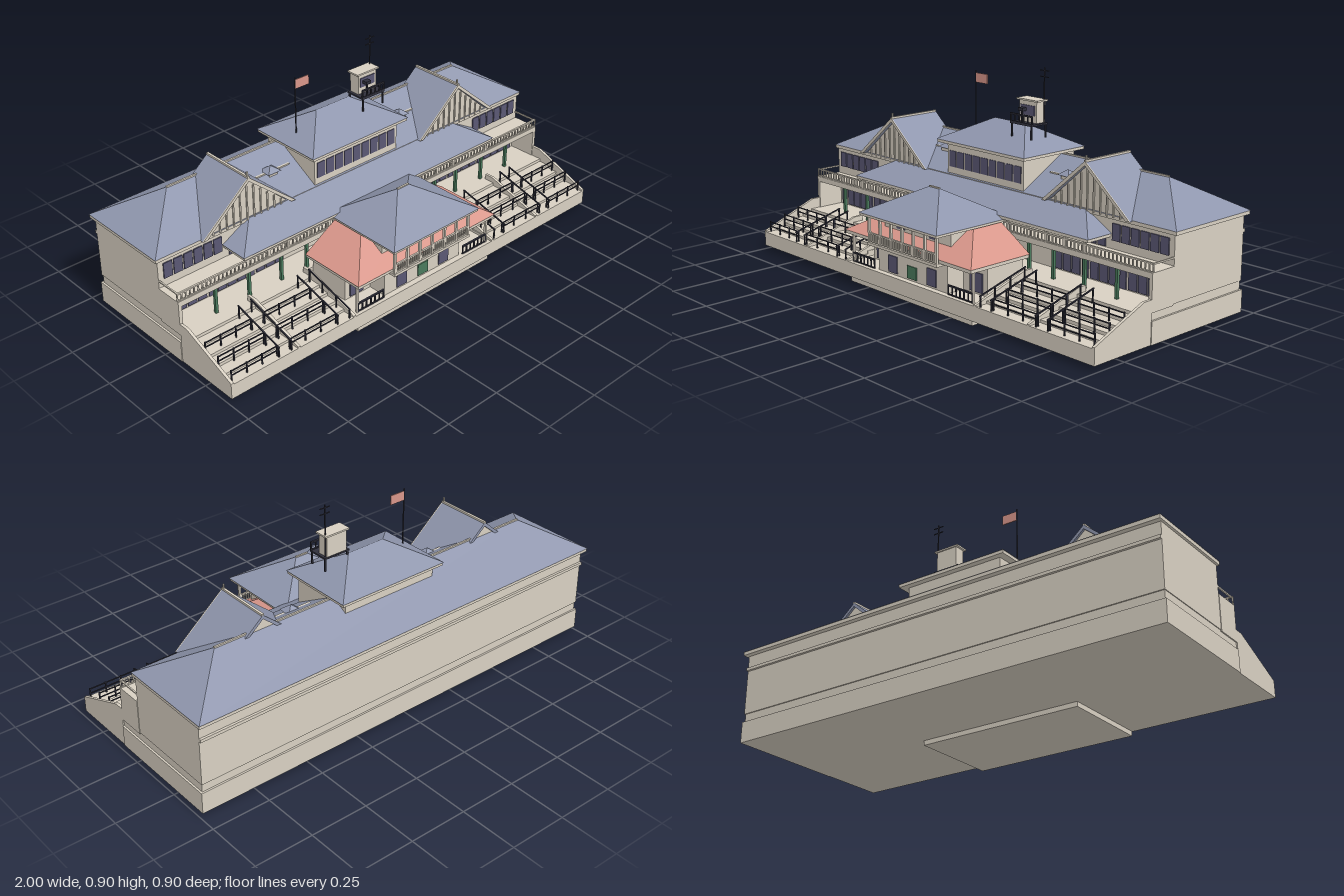
import * as THREE from 'three';

const mat = (name, color, side = THREE.FrontSide) => {
  const m = new THREE.MeshStandardMaterial({ color, side });
  m.name = name;
  return m;
};

export function createModel() {
  const root = new THREE.Group();
  root.name = 'grandstand';
  const cream = mat('cream wall', 0xd8d0c2), slate = mat('slate roof', 0x8f96ad);
  const red = mat('red roof', 0xd8968a, THREE.DoubleSide), glass = mat('window glass', 0x5a5874);
  const green = mat('green paint', 0x4a7a5c), iron = mat('dark iron', 0x30303c);

  const add = (name, geo, m) => {
    const mesh = new THREE.Mesh(geo, m);
    mesh.name = name;
    root.add(mesh);
    return mesh;
  };
  // Box given by its limits
  const box = (name, m, x0, x1, y0, y1, z0, z1) =>
    add(name, new THREE.BoxGeometry(Math.abs(x1 - x0), y1 - y0, z1 - z0)
      .translate((x0 + x1) / 2, (y0 + y1) / 2, (z0 + z1) / 2), m);
  // Square bar between two points
  const bar = (name, m, a, b, t = 0.005) => {
    const p = new THREE.Vector3(...a), q = new THREE.Vector3(...b);
    const mesh = add(name, new THREE.BoxGeometry(t, t, p.distanceTo(q)), m);
    mesh.position.copy(p).lerp(q, 0.5);
    mesh.lookAt(q);
    return mesh;
  };
  // Hip roof: lower rectangle and upper rectangle, each [x0, x1, z0, z1]
  const hip = (name, m, lo, y0, hi, y1) => {
    const ring = ([x0, x1, z0, z1], y) => [[x0, y, z1], [x1, y, z1], [x1, y, z0], [x0, y, z0]];
    const a = ring(lo, y0), b = ring(hi, y1), pos = [];
    const quad = (p, q, r, s) => pos.push(...p, ...q, ...r, ...p, ...r, ...s);
    for (let i = 0; i < 4; i++) quad(a[i], a[(i + 1) % 4], b[(i + 1) % 4], b[i]);
    quad(b[0], b[1], b[2], b[3]);
    quad(a[3], a[2], a[1], a[0]);
    const g = new THREE.BufferGeometry();
    g.setAttribute('position', new THREE.Float32BufferAttribute(pos, 3));
    g.computeVertexNormals();
    return add(name, g, m);
  };
  const prism = (pts, depth) => new THREE.ExtrudeGeometry(
    new THREE.Shape(pts.map(p => new THREE.Vector2(...p))), { depth, bevelEnabled: false });
  // Railing along x: top rail, foot rail and balusters
  const railing = (name, m, x0, x1, y0, y1, z, n) => {
    box(name + 'Top', m, x0, x1, y1 - 0.006, y1, z - 0.004, z + 0.004);
    box(name + 'Foot', m, x0, x1, y0, y0 + 0.004, z - 0.003, z + 0.003);
    for (let i = 0; i <= n; i++) {
      const x = x0 + (x1 - x0) * i / n;
      box(name + 'Baluster', m, x - 0.0025, x + 0.0025, y0, y1, z - 0.0025, z + 0.0025);
    }
  };

  // Main body
  box('base', cream, -0.37, 0.37, 0, 0.03, -0.01, 0.39);
  box('lowerBody', cream, -0.985, 0.985, 0.02, 0.145, -0.42, 0.1);
  box('plinth', cream, -0.993, 0.993, 0.02, 0.11, -0.428, 0.1);
  box('upperBody', cream, -0.988, 0.988, 0.145, 0.41, -0.425, -0.02);
  box('rearLedge', cream, -0.988, 0.988, 0.335, 0.348, -0.435, -0.42);
  box('mainEave', cream, -0.998, 0.998, 0.403, 0.418, -0.447, -0.014);
  hip('mainRoof', slate, [-1, 1, -0.45, -0.012], 0.418, [-0.78, 0.78, -0.237, -0.233], 0.543);
  box('mainRidge', cream, -0.78, 0.78, 0.54, 0.548, -0.239, -0.231);

  // Balcony, veranda roof
  box('balconyFloor', cream, -0.99, 0.99, 0.265, 0.288, -0.02, 0.1);
  hip('verandaRoof', slate, [-0.69, 0.69, -0.02, 0.11], 0.346, [-0.56, 0.56, -0.02, -0.018], 0.417);
  box('verandaEave', cream, -0.686, 0.686, 0.333, 0.346, -0.02, 0.107);

  // Central tower
  box('towerWall', cream, -0.225, 0.225, 0.4, 0.556, -0.305, -0.018);
  box('towerEave', cream, -0.256, 0.256, 0.551, 0.564, -0.33, 0.012);
  hip('towerRoof', slate, [-0.26, 0.26, -0.333, 0.015], 0.564, [-0.09, 0.09, -0.162, -0.158], 0.655);
  for (let i = 0; i < 9; i++) {
    const x = -0.192 + i * 0.048;
    box('towerWindow', glass, x - 0.02, x + 0.02, 0.45, 0.518, -0.02, -0.015);
  }

  for (const s of [-1, 1]) {
    const sb = (name, m, x0, x1, ...r) => box(name, m, Math.min(s * x0, s * x1), Math.max(s * x0, s * x1), ...r);

    // Gable with battens and finial
    const cx = s * 0.57;
    add('gableWall', prism([[-0.205, 0.41], [0.205, 0.41], [0, 0.59]], 0.225).translate(cx, 0, -0.24), cream);
    const chevron = [[-0.225, 0.415], [-0.205, 0.415], [0, 0.588], [0.205, 0.415], [0.225, 0.415], [0, 0.605]];
    add('gableRoof', prism(chevron.slice().reverse(), 0.25).translate(cx, 0, -0.25), slate);
    add('bargeboard', prism(chevron.slice().reverse(), 0.005).translate(cx, 0, 0), cream);
    box('gableRidge', cream, cx - 0.005, cx + 0.005, 0.601, 0.609, -0.25, 0.004);
    box('finial', cream, cx - 0.003, cx + 0.003, 0.6, 0.626, -0.008, -0.002);
    for (let i = -5; i <= 5; i++) {
      const x = cx + i * 0.033;
      box('gableBatten', cream, x - 0.003, x + 0.003, 0.41, 0.583 - Math.abs(i) * 0.029, -0.016, -0.01);
    }

    // Ridge vent
    sb('ventStrip', cream, 0.26, 0.43, 0.48, 0.49, -0.14, -0.13);
    sb('ventBox', cream, 0.335, 0.375, 0.475, 0.494, -0.155, -0.115);
    hip('ventRoof', slate, [s * 0.355 - 0.032, s * 0.355 + 0.032, -0.165, -0.105], 0.492,
      [s * 0.355 - 0.001, s * 0.355 + 0.001, -0.136, -0.134], 0.514);

    // Windows on three levels
    for (let i = 0; i < 12; i++) {
      const x = 0.4 + i * 0.0475;
      if (i % 4 !== 3) sb('lowerWindow', glass, x, x + 0.041, 0.15, 0.257, -0.02, -0.015);
      else sb('lowerDoor', glass, x + 0.006, x + 0.036, 0.147, 0.235, -0.02, -0.015);
    }
    for (let i = 0; i < 6; i++) {
      const x = 0.695 + i * 0.046;
      sb('upperWindow', glass, x, x + 0.039, 0.322, 0.388, -0.02, -0.015);
    }
    for (let i = 0; i < 9; i++) {
      const x = 0.24 + i * 0.048;
      sb('verandaWindow', glass, x, x + 0.039, 0.292, 0.33, -0.02, -0.015);
    }

    // Balcony supports and railings
    sb('endWall', cream, 0.975, 0.99, 0.14, 0.288, -0.02, 0.1);
    for (const x of [0.36, 0.49, 0.65, 0.81])
      sb('greenPost', green, x - 0.006, x + 0.006, 0.145, 0.266, 0.075, 0.087);
    for (const x of [0.25, 0.36, 0.46, 0.56, 0.66])
      sb('verandaPost', cream, x - 0.005, x + 0.005, 0.285, 0.335, 0.086, 0.096);
    railing('balconyRail', cream, s * 0.23, s * 0.988, 0.288, 0.324, 0.094, 40);
    sb('balconyEndRail', cream, 0.982, 0.988, 0.316, 0.322, -0.02, 0.096);

    // Stepped terrace with sloping parapets
    for (let i = 0; i < 6; i++)
      sb('terraceStep', cream, 0.38, 0.98, 0.02, 0.08 + i * 0.013, 0.09, 0.388 - i * 0.048);
    for (const [x, top] of [[0.984, 0.19], [0.67, 0.168], [0.39, 0.168]]) {
      const g = prism([[0.395, 0.02], [0.395, 0.088], [0.14, top], [0.1, top], [0.1, 0.02]], 0.012);
      add('parapet', g.rotateY(-Math.PI / 2).translate(s * x + 0.006, 0, 0), cream);
    }

    // Iron aisle handrails and crowd barriers
    const stepY = z => 0.08 + 0.27 * (0.388 - z);
    for (const x of [0.41, 0.47, 0.7, 0.76]) {
      bar('aisleRail', iron, [s * x, stepY(0.39) + 0.045, 0.39], [s * x, stepY(0.15) + 0.045, 0.15]);
      for (const z of [0.385, 0.31, 0.23, 0.155])
        sb('aislePost', iron, x - 0.0025, x + 0.0025, stepY(z) - 0.012, stepY(z) + 0.045, z - 0.0025, z + 0.0025);
    }
    for (const z of [0.375, 0.3, 0.225])
      for (const [x0, x1] of [[0.47, 0.7], [0.76, 0.972]]) {
        for (const h of [0.025, 0.045])
          sb('barrierRail', iron, x0, x1, stepY(z) + h - 0.004, stepY(z) + h, z - 0.002, z + 0.002);
        for (let i = 0; i < 4; i++) {
          const x = x0 + (x1 - x0) * i / 3;
          sb('barrierPost', iron, x - 0.0025, x + 0.0025, stepY(z) - 0.012, stepY(z) + 0.047, z - 0.0025, z + 0.0025);
        }
      }

    // Pavilion wing
    sb('wingWall', cream, 0.2, 0.345, 0.08, 0.21, 0.1, 0.288);
    sb('wingWindow', glass, 0.25, 0.32, 0.09, 0.168, 0.287, 0.293);
    sb('wingPost', cream, 0.357, 0.367, 0.08, 0.21, 0.372, 0.382);
    railing('wingRail', iron, s * 0.225, s * 0.36, 0.085, 0.125, 0.38, 6);
    sb('pavilionDoor', glass, 0.09, 0.145, 0.09, 0.16, 0.368, 0.374);
    sb('roomWindow', glass, 0.075, 0.125, 0.268, 0.312, 0.34, 0.345);
  }

  // Front wall of terrace
  box('terraceFront', cream, -0.99, 0.99, 0.02, 0.082, 0.09, 0.395);

  // Central pavilion
  box('pavilionWall', cream, -0.21, 0.21, 0.08, 0.21, 0.1, 0.37);
  box('greenDoor', green, -0.028, 0.028, 0.09, 0.142, 0.368, 0.374);
  box('redRoofEave', cream, -0.378, 0.378, 0.207, 0.222, 0.1, 0.403);
  hip('redRoof', red, [-0.382, 0.382, 0.1, 0.406], 0.222, [-0.225, 0.225, 0.1, 0.25], 0.316);
  box('pavilionRoom', cream, -0.2, 0.2, 0.22, 0.325, 0.1, 0.342);
  box('pavilionBalcony', cream, -0.21, 0.21, 0.197, 0.209, 0.37, 0.426);
  box('pavilionBeam', cream, -0.21, 0.21, 0.311, 0.322, 0.413, 0.424);
  for (let i = 0; i < 7; i++) {
    const x = -0.204 + i * 0.068;
    box('pavilionPost', cream, x - 0.005, x + 0.005, 0.2, 0.322, 0.414, 0.424);
  }
  railing('pavilionRail', cream, -0.205, 0.205, 0.212, 0.25, 0.419, 36);
  box('pavilionEave', cream, -0.232, 0.232, 0.32, 0.331, 0.06, 0.445);
  hip('pavilionRoof', slate, [-0.236, 0.236, 0.052, 0.448], 0.331, [-0.03, 0.03, 0.248, 0.252], 0.442);
  box('pavilionRidge', cream, -0.03, 0.03, 0.438, 0.446, 0.246, 0.254);

  // Lookout on the tower roof
  box('lookoutFloor', iron, 0.088, 0.21, 0.669, 0.676, -0.166, -0.076);
  for (const x of [0.094, 0.204])
    for (const z of [-0.16, -0.08]) box('lookoutLeg', iron, x - 0.003, x + 0.003, 0.615, 0.672, z - 0.003, z + 0.003);
  box('lookoutCabin', cream, 0.1, 0.198, 0.676, 0.765, -0.163, -0.115);
  box('lookoutRoof', cream, 0.09, 0.208, 0.762, 0.769, -0.168, -0.108);
  box('lookoutWindow', glass, 0.11, 0.188, 0.705, 0.745, -0.116, -0.111);
  railing('lookoutRail', iron, 0.09, 0.208, 0.676, 0.712, -0.079, 5);
  box('lampPost', iron, 0.13, 0.136, 0.675, 0.725, -0.101, -0.095);
  box('lamp', iron, 0.12, 0.146, 0.722, 0.735, -0.11, -0.088);

  // Aerial and flag
  box('aerialMast', iron, 0.198, 0.202, 0.67, 0.897, -0.157, -0.153);
  for (const y of [0.86, 0.885]) box('aerialArm', iron, 0.176, 0.224, y - 0.0015, y + 0.0015, -0.157, -0.153);
  box('flagPole', iron, -0.202, -0.198, 0.59, 0.84, -0.157, -0.153);
  box('flag', red, -0.198, -0.13, 0.79, 0.83, -0.157, -0.153);
  return root;
}
